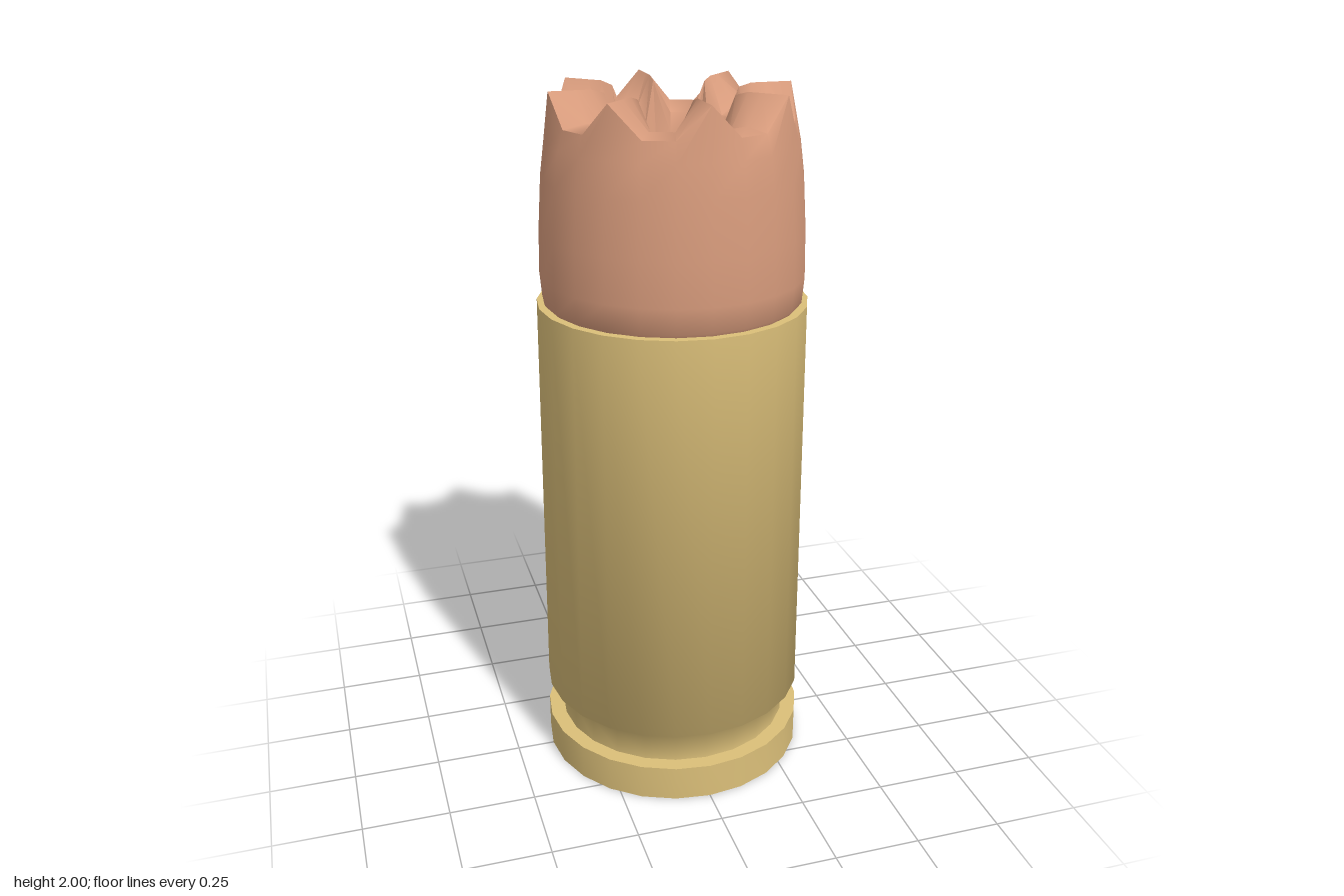
import * as THREE from 'three';
import { toCreasedNormals } from 'three/addons/utils/BufferGeometryUtils.js';

const SIDES = 24;

// Closed rings of vertices; every third vertex may be raised into a tooth.
function ringSurface(rings) {
  const pos = [], idx = [];
  for (const { r, y, toothR = r, toothY = y } of rings) {
    for (let j = 0; j < SIDES; j++) {
      const a = (j / SIDES) * Math.PI * 2, tooth = j % 3 === 0;
      const rad = tooth ? toothR : r;
      pos.push(rad * Math.sin(a), tooth ? toothY : y, rad * Math.cos(a));
    }
  }
  for (let i = 0; i < rings.length - 1; i++) {
    for (let j = 0; j < SIDES; j++) {
      const k = (j + 1) % SIDES;
      const a = i * SIDES + j, b = i * SIDES + k, c = a + SIDES, d = b + SIDES;
      idx.push(a, b, d);
      if (rings[i + 1].r > 0) idx.push(a, d, c);
    }
  }
  const g = new THREE.BufferGeometry();
  g.setAttribute('position', new THREE.Float32BufferAttribute(pos, 3));
  g.setIndex(idx);
  return toCreasedNormals(g, 1.1);
}

export function createModel() {
  const brass = new THREE.MeshStandardMaterial({ color: 0xdbbf79 });
  brass.name = 'brass';
  const copper = new THREE.MeshStandardMaterial({ color: 0xd79b7c });
  copper.name = 'copper';
  const model = new THREE.Group();
  model.name = 'cartridge';

  // Case: base disc, rim, extractor groove, tapered wall and mouth
  const profile = [
    [0, 0], [0.39, 0], [0.39, 0.105], [0.345, 0.105], [0.345, 0.185],
    [0.388, 0.215], [0.38, 1.42], [0.355, 1.42],
  ].map(([x, y]) => new THREE.Vector2(x, y));
  const caseMesh = new THREE.Mesh(
    toCreasedNormals(new THREE.LatheGeometry(profile, SIDES), 1.1), brass);
  caseMesh.name = 'case';
  model.add(caseMesh);

  // Bullet: bulging jacket, eight radial teeth around the mouth, hollow cavity
  const bullet = new THREE.Mesh(ringSurface([
    { r: 0.34, y: 1.4 },
    { r: 0.364, y: 1.43 },
    { r: 0.37, y: 1.5 },
    { r: 0.367, y: 1.62 },
    { r: 0.357, y: 1.77 },
    { r: 0.345, y: 1.86 },
    { r: 0.328, y: 1.915, toothR: 0.335, toothY: 2 },
    { r: 0.26, y: 1.925, toothY: 2 },
    { r: 0.2, y: 1.9, toothR: 0.22, toothY: 2 },
    { r: 0.148, y: 1.85, toothR: 0.185, toothY: 1.99 },
    { r: 0.143, y: 1.74 },
    { r: 0.1, y: 1.64 },
    { r: 0.05, y: 1.6 },
    { r: 0, y: 1.59 },
  ]), copper);
  bullet.name = 'bullet';
  model.add(bullet);

  return model;
}
